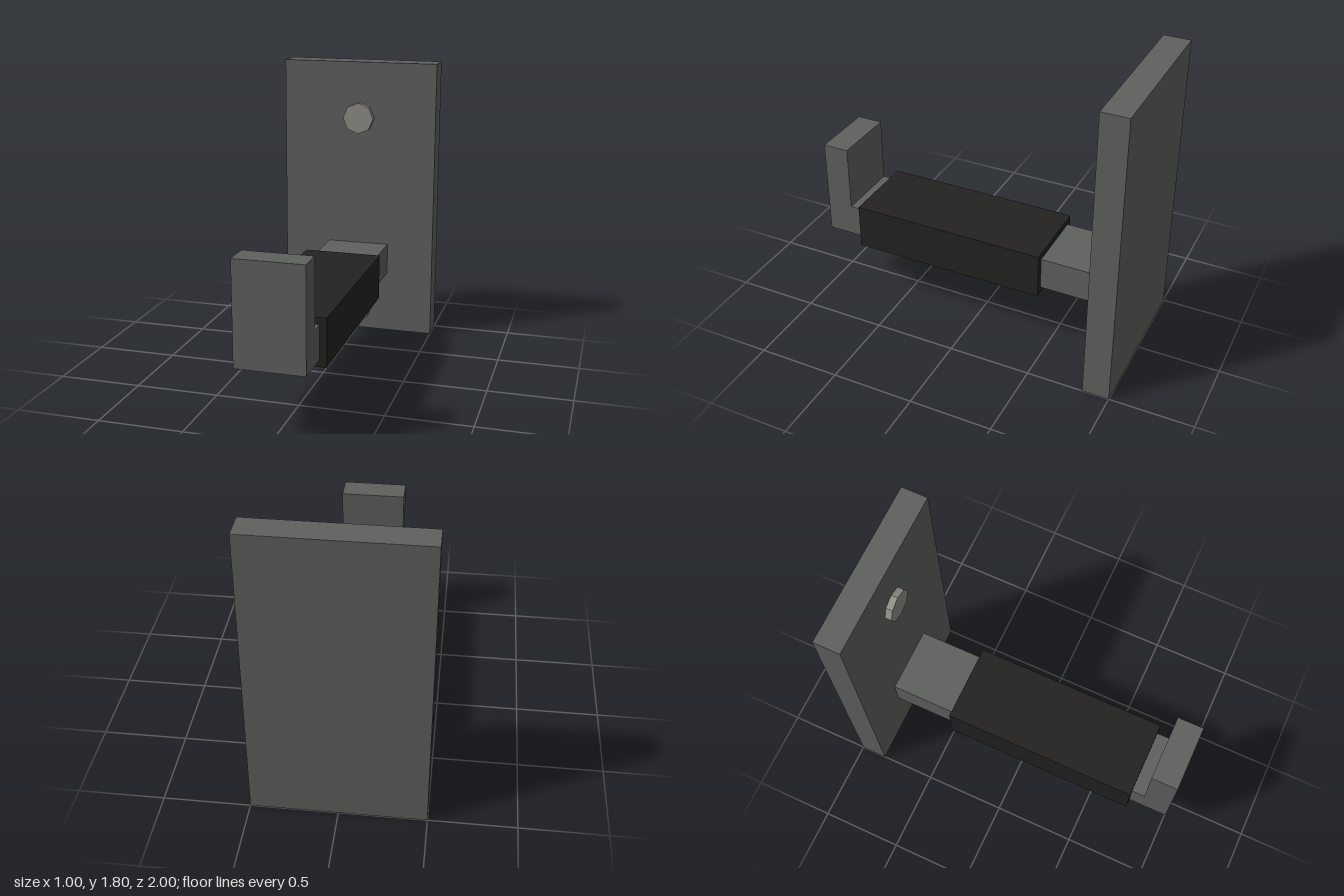
import * as THREE from 'three';

const material = (color) => new THREE.MeshStandardMaterial({ color, flatShading: true });

export function createModel() {
  const group = new THREE.Group();
  const steel = material(0x5f615f);
  const rubber = material(0x232221);
  const zinc = material(0x918e86);

  const add = (name, geometry, mat, x, y, z) => {
    const mesh = new THREE.Mesh(geometry, mat);
    mesh.name = name;
    mesh.position.set(x, y, z);
    group.add(mesh);
  };

  // Wall plate
  add('wallPlate', new THREE.BoxGeometry(1, 1.8, 0.16), steel, 0, 0.9, -0.92);

  // L-shaped arm with upturned lip: side profile (z, y) extruded across x
  const profile = new THREE.Shape([
    [-0.84, 0.4], [1, 0.4], [1, 1], [0.84, 1], [0.84, 0.6], [-0.84, 0.6],
  ].map(([z, y]) => new THREE.Vector2(z, y)));
  const arm = new THREE.ExtrudeGeometry(profile, { depth: 0.4, bevelEnabled: false });
  arm.rotateY(-Math.PI / 2);
  add('hookArm', arm, steel, 0.2, 0, 0);

  // Padded sleeve around the arm
  add('gripSleeve', new THREE.BoxGeometry(0.48, 0.28, 1.2), rubber, 0, 0.5, 0.16);

  // Eight-sided bolt heads
  const bolt = new THREE.CylinderGeometry(0.1, 0.1, 0.04, 8).rotateX(Math.PI / 2);
  add('upperBolt', bolt, zinc, 0, 1.44, -0.82);
  add('lowerBolt', bolt, zinc, 0, 0.16, -0.82);

  return group;
}
